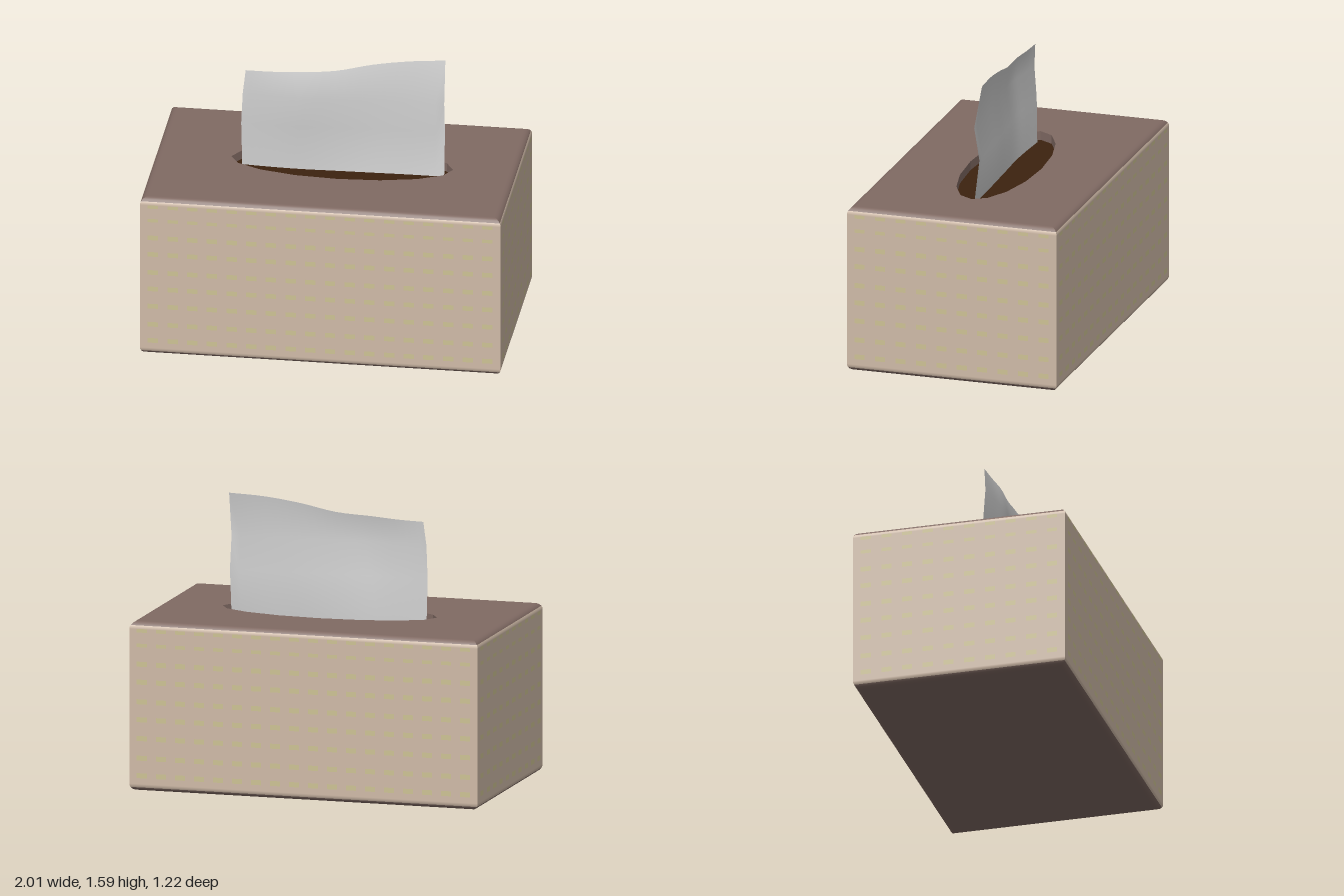
import * as THREE from 'three';
import { mergeGeometries } from 'three/addons/utils/BufferGeometryUtils.js';

const HX = 1, HZ = 0.605, H = 0.945, R = 0.04;
const HOLE = { x: 0.035, rx: 0.615, rz: 0.205, depth: 0.05, sides: 16 };

const mat = (name, color, side = THREE.FrontSide) => {
  const m = new THREE.MeshStandardMaterial({ color, side });
  m.name = name;
  return m;
};

// Four mitred walls following a profile of [inset, y, outward normal, upward normal]
function wallBand(profile) {
  const pos = [], nor = [], idx = [];
  const up = new THREE.Vector3(0, 1, 0);
  for (let s = 0; s < 4; s++) {
    const a = s * Math.PI / 2;
    const out = new THREE.Vector3(Math.round(Math.sin(a)), 0, Math.round(Math.cos(a)));
    const along = up.clone().cross(out);
    const [depth, half] = s % 2 ? [HX, HZ] : [HZ, HX];
    const base = pos.length / 3;
    profile.forEach(([inset, y, no, ny], i) => {
      for (const e of [-1, 1]) {
        const p = out.clone().multiplyScalar(depth - inset).addScaledVector(along, e * (half - inset));
        pos.push(p.x, y, p.z);
        nor.push(out.x * no, ny, out.z * no);
      }
      if (i) {
        const k = base + 2 * (i - 1);
        idx.push(k, k + 1, k + 3, k, k + 3, k + 2);
      }
    });
  }
  const g = new THREE.BufferGeometry();
  g.setAttribute('position', new THREE.Float32BufferAttribute(pos, 3));
  g.setAttribute('normal', new THREE.Float32BufferAttribute(nor, 3));
  g.setIndex(idx);
  return g;
}

// Point on the rounded edge; negative angles belong to the lower edge
function edgePoint(degrees, top) {
  const a = degrees * Math.PI / 180, c = Math.cos(a), s = Math.sin(a);
  return top ? [R * (1 - c), H - R + R * s, c, s] : [R * (1 - c), R - R * s, c, -s];
}

// Rows of short dashes on all four walls
function dashes() {
  const parts = [];
  const rows = [0.087, 0.185, 0.295, 0.4, 0.5, 0.61, 0.71, 0.815, 0.897];
  for (let s = 0; s < 4; s++) {
    const [depth, half, count] = s % 2 ? [HX, HZ, 10] : [HZ, HX, 18];
    const pitch = (2 * half - 0.09) / (count - 0.5);
    for (const y of rows) {
      for (let i = 0; i < count; i++) {
        const g = new THREE.PlaneGeometry(0.058, y > 0.8 ? 0.02 : 0.028);
        g.translate((i - (count - 1) / 2) * pitch, y, depth + 0.003);
        g.rotateY(s * Math.PI / 2);
        parts.push(g);
      }
    }
  }
  return mergeGeometries(parts);
}

// Wavy sheet: one horizontal spline per level, joined into a surface
function tissueSheet() {
  const xs = [-0.52, -0.36, -0.2, 0, 0.2, 0.4, 0.6];
  const tops = [1.475, 1.478, 1.488, 1.503, 1.545, 1.573, 1.585];
  const levels = [
    { y: 0.9, z: [0, 0.01, 0.015, 0.01, 0.005, 0, 0], left: 0 },
    { y: 1.155, z: [0.005, 0.012, 0.015, 0, -0.015, -0.022, -0.03], left: -0.005 },
    { y: 1.34, z: [0.015, 0.032, 0.045, 0.03, 0.015, 0.005, 0], left: 0.005 },
    { y: null, z: [0.005, 0.01, 0.015, 0, -0.018, -0.03, -0.045], left: 0.02 },
  ];
  const N = 24, pos = [], idx = [];
  levels.forEach((l, j) => {
    const pts = xs.map((x, i) => new THREE.Vector3(x + (i ? 0 : l.left), l.y ?? tops[i], l.z[i]));
    const curve = new THREE.CatmullRomCurve3(pts);
    for (let i = 0; i <= N; i++) {
      pos.push(...curve.getPoint(i / N).toArray());
      if (j && i) {
        const b = j * (N + 1) + i, a = b - N - 1;
        idx.push(a - 1, a, b, a - 1, b, b - 1);
      }
    }
  });
  const g = new THREE.BufferGeometry();
  g.setAttribute('position', new THREE.Float32BufferAttribute(pos, 3));
  g.setIndex(idx);
  g.computeVertexNormals();
  return g;
}

export function createModel() {
  const group = new THREE.Group();
  const beige = mat('beige card', 0xcfbaa7);
  const brown = mat('brown card', 0x806a63);
  const dashColor = mat('olive dashes', 0xcdc294);
  const dark = mat('dark opening', 0x3c220f);
  const white = mat('tissue paper', 0xd0d0d0, THREE.DoubleSide);
  const add = (name, geometry, material) => {
    const m = new THREE.Mesh(geometry, material);
    m.name = name;
    group.add(m);
    return m;
  };

  // Box walls and rounded rims
  add('boxWalls', wallBand([
    ...[30, 15, 0].map(d => edgePoint(d, false)),
    ...[0, 15, 30].map(d => edgePoint(d, true)),
  ]), beige);
  add('topRim', wallBand([30, 50, 70, 90].map(d => edgePoint(d, true))), brown);
  add('bottomRim', wallBand([90, 70, 50, 30].map(d => edgePoint(d, false))), brown);
  add('wallDashes', dashes(), dashColor);

  // Top panel with the oval opening
  const w = HX - R, d = HZ - R;
  const shape = new THREE.Shape([[-w, -d], [w, -d], [w, d], [-w, d]].map(p => new THREE.Vector2(...p)));
  const oval = [];
  for (let i = 0; i < HOLE.sides; i++) {
    const a = i / HOLE.sides * Math.PI * 2;
    oval.push(new THREE.Vector2(HOLE.x + HOLE.rx * Math.cos(a), HOLE.rz * Math.sin(a)));
  }
  shape.holes.push(new THREE.Path(oval));
  add('topPanel', new THREE.ShapeGeometry(shape).rotateX(-Math.PI / 2), brown).position.y = H;
  add('bottomPanel', new THREE.PlaneGeometry(2 * w, 2 * d).rotateX(Math.PI / 2), brown);

  // Inward-facing wall and floor of the opening
  const wall = new THREE.CylinderGeometry(1, 1, HOLE.depth, HOLE.sides, 1, true)
    .scale(-HOLE.rx, 1, HOLE.rz).toNonIndexed();
  wall.computeVertexNormals();
  add('openingWall', wall, brown).position.set(HOLE.x, H - HOLE.depth / 2, 0);
  add('openingFloor', new THREE.ShapeGeometry(new THREE.Shape(oval)).rotateX(-Math.PI / 2), dark)
    .position.y = H - HOLE.depth;

  add('tissue', tissueSheet(), white);
  return group;
}
